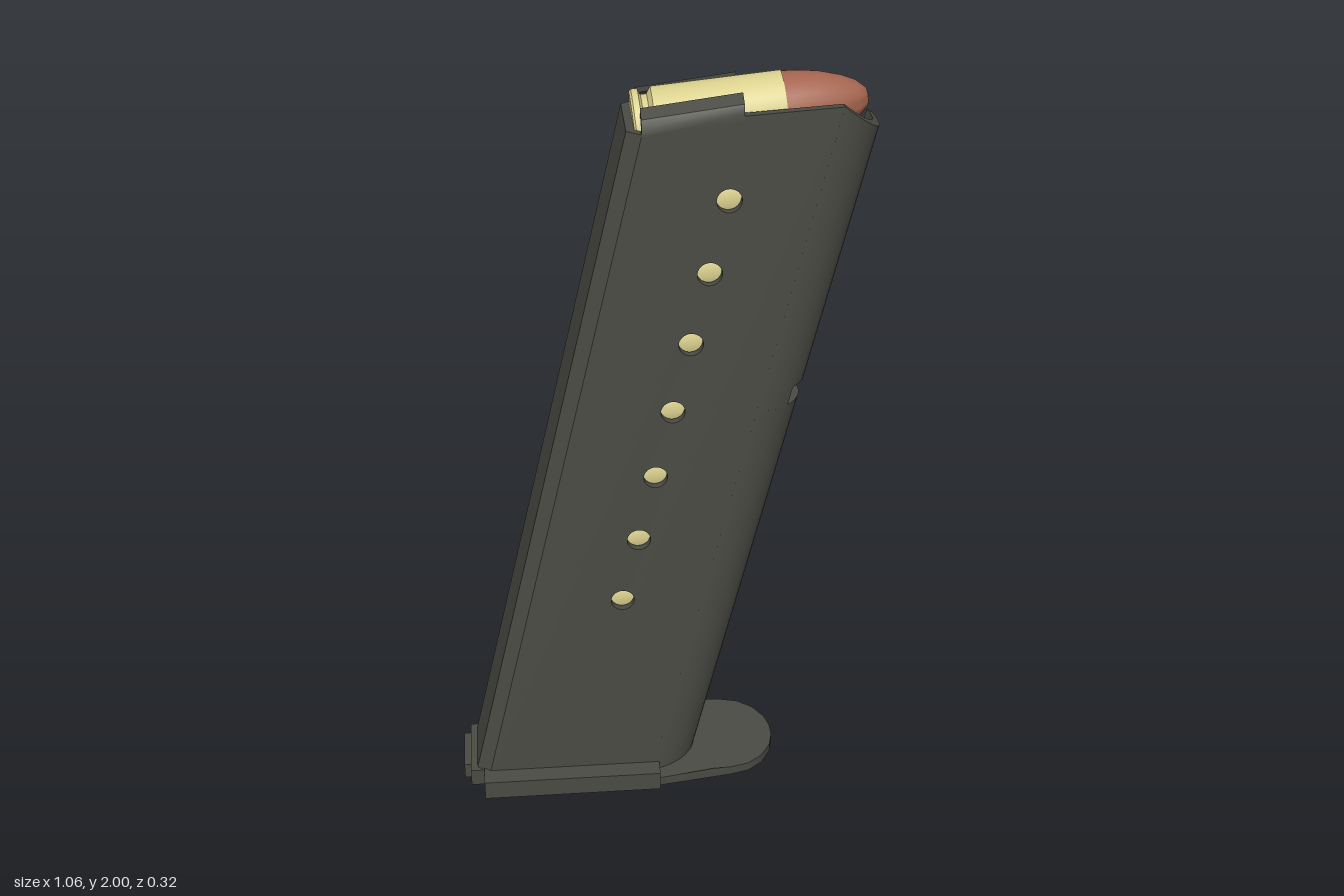
import * as THREE from 'three';
import { toCreasedNormals } from 'three/addons/utils/BufferGeometryUtils.js';

const LEAN = 0.228; // sideways shift per unit of height

export function createModel() {
  const group = new THREE.Group();
  const steel = new THREE.MeshStandardMaterial({ name: 'dark steel', color: 0x4b4b45 });
  const brass = new THREE.MeshStandardMaterial({ name: 'brass', color: 0xdad18e });
  const copper = new THREE.MeshStandardMaterial({ name: 'copper', color: 0xa5654f });

  function add(name, geometry, material = steel, parent = group) {
    const mesh = new THREE.Mesh(toCreasedNormals(geometry, 0.6), material);
    mesh.name = name;
    parent.add(mesh);
    return mesh;
  }

  const shapeOf = pts => new THREE.Shape(pts.map(([a, b]) => new THREE.Vector2(a, b)));
  const extrude = (shape, depth) =>
    new THREE.ExtrudeGeometry(shape, { depth, bevelEnabled: false, curveSegments: 16 });

  // Move every vertex by a rule
  function warp(geometry, rule) {
    const p = geometry.attributes.position;
    const v = new THREE.Vector3();
    for (let i = 0; i < p.count; i++) {
      v.fromBufferAttribute(p, i);
      rule(v);
      p.setXYZ(i, v.x, v.y, v.z);
    }
    return geometry;
  }

  // Leaning wall raised from a flat [x, z] section, with a top that may slope
  function wall(name, section, y0, top) {
    const g = extrude(shapeOf(section.map(([x, z]) => [x, -z])), 1).rotateX(-Math.PI / 2);
    add(name, warp(g, v => {
      v.y = y0 + v.y * (top(v.x) - y0);
      v.x += LEAN * v.y;
    }));
  }

  // Elliptical band for the rounded front edge; angles in degrees from +z
  function band(a0, a1, outer, inner) {
    const n = Math.max(3, Math.round((a1 - a0) / 8));
    const arc = ([rx, rz]) => Array.from({ length: n + 1 }, (_, i) => {
      const t = (a0 + (a1 - a0) * i / n) * Math.PI / 180;
      return [-0.02 + rx * Math.sin(t), rz * Math.cos(t)];
    });
    return [...arc(outer), ...arc(inner).reverse()];
  }

  // Side panels with round witness holes
  const bottom = 0.03;
  const panel = shapeOf([
    [-0.47 + LEAN * bottom, bottom], [-0.02 + LEAN * bottom, bottom],
    [0.425, 1.952], [0.2, 1.938], [-0.037, 1.9],
  ]);
  for (let i = 0; i < 7; i++) {
    const hole = new THREE.Path();
    hole.absarc(0.166 - 0.0428 * i, 1.73 - 0.187 * i, 0.03, 0, Math.PI * 2, true);
    panel.holes.push(hole);
  }
  add('leftSidePanel', extrude(panel, 0.02).translate(0, 0, 0.09));
  add('rightSidePanel', extrude(panel, 0.02).translate(0, 0, -0.11));

  // Chamfered rear spine
  wall('rearSpine', [
    [-0.47, 0.11], [-0.505, 0.085], [-0.505, -0.085], [-0.47, -0.11],
    [-0.47, -0.09], [-0.485, -0.075], [-0.485, 0.075], [-0.47, 0.09],
  ], bottom, () => 1.9);

  // Rounded front edge, interrupted by a notch, and the recessed strip beside it
  const outer = [0.12, 0.11], inner = [0.1, 0.09];
  const stepOuter = [0.105, 0.095], stepInner = [0.092, 0.082];
  const slope = u => 1.952 - 0.68 * (u + 0.02);
  wall('frontEdgeLower', band(0, 112, outer, inner), bottom, () => 1.16);
  wall('frontEdgeBesideNotch', band(0, 43, outer, inner), 1.16, () => 1.21);
  wall('frontEdgeUpper', band(0, 112, outer, inner), 1.21, slope);
  wall('recessedStripLower', band(110, 180, stepOuter, stepInner), bottom, () => 1.16);
  wall('recessedStripBesideNotch', band(140, 180, stepOuter, stepInner), 1.16, () => 1.21);
  wall('recessedStripUpper', band(110, 180, stepOuter, stepInner), 1.21, () => 1.74);

  // Feed lips curling inward over the top round
  for (const side of [1, -1]) {
    const section = shapeOf([
      [0.11, 1.895], [0.11, 1.918], [0.1, 1.937], [0.066, 1.952],
      [0.066, 1.938], [0.09, 1.92], [0.09, 1.895],
    ].map(([z, y]) => [-z * side, y]));
    const lip = extrude(section, 0.235).rotateY(Math.PI / 2).translate(-0.038, 0, 0);
    add(side > 0 ? 'leftFeedLip' : 'rightFeedLip', warp(lip, v => { v.y += 0.13 * v.x; }));
  }

  // Stack of rounds
  const lathe = pts => new THREE.LatheGeometry(pts.map(([r, y]) => new THREE.Vector2(r, y)), 28);
  const caseGeometry = lathe([
    [0, 0], [0.08, 0], [0.085, 0.005], [0.085, 0.02], [0.07, 0.026],
    [0.07, 0.04], [0.086, 0.05], [0.086, 0.353], [0.08, 0.353],
  ]);
  const tipGeometry = lathe([
    [0.084, 0.35], [0.081, 0.39], [0.073, 0.44], [0.058, 0.49],
    [0.042, 0.525], [0.022, 0.547], [0, 0.553],
  ]);
  for (let i = 0; i < 8; i++) {
    const round = new THREE.Group();
    round.name = 'round' + (i + 1);
    add('case', caseGeometry, brass, round);
    add('tip', tipGeometry, copper, round);
    round.position.set(-0.05 - 0.0428 * i, 1.878 - 0.187 * i, 0);
    round.rotation.z = -Math.PI / 2 + 0.1;
    group.add(round);
  }

  // Base plate: main block, rear step and tab
  function block(name, x0, x1, y1, halfWidth) {
    add(name, new THREE.BoxGeometry(x1 - x0, y1, halfWidth * 2).translate((x0 + x1) / 2, y1 / 2, 0));
  }
  block('basePlate', -0.475, 0.005, 0.055, 0.16);
  block('basePlateRearStep', -0.512, -0.475, 0.05, 0.1);
  block('basePlateTab', -0.53, -0.512, 0.045, 0.068);

  // Thin rounded toe that lifts away from the base
  const half = [[0, 0.15], [0.15, 0.15], [0.2, 0.148], [0.25, 0.135], [0.29, 0.105], [0.318, 0.06], [0.328, 0.02]];
  const toe = shapeOf([...half, ...half.map(([x, z]) => [x, -z]).reverse()]);
  add('basePlateToe', warp(extrude(toe, 0.026).rotateX(-Math.PI / 2).translate(0, 0.028, 0), v => {
    v.y -= 0.024 * Math.max(0, 1 - v.x / 0.15);
  }));

  return group;
}
